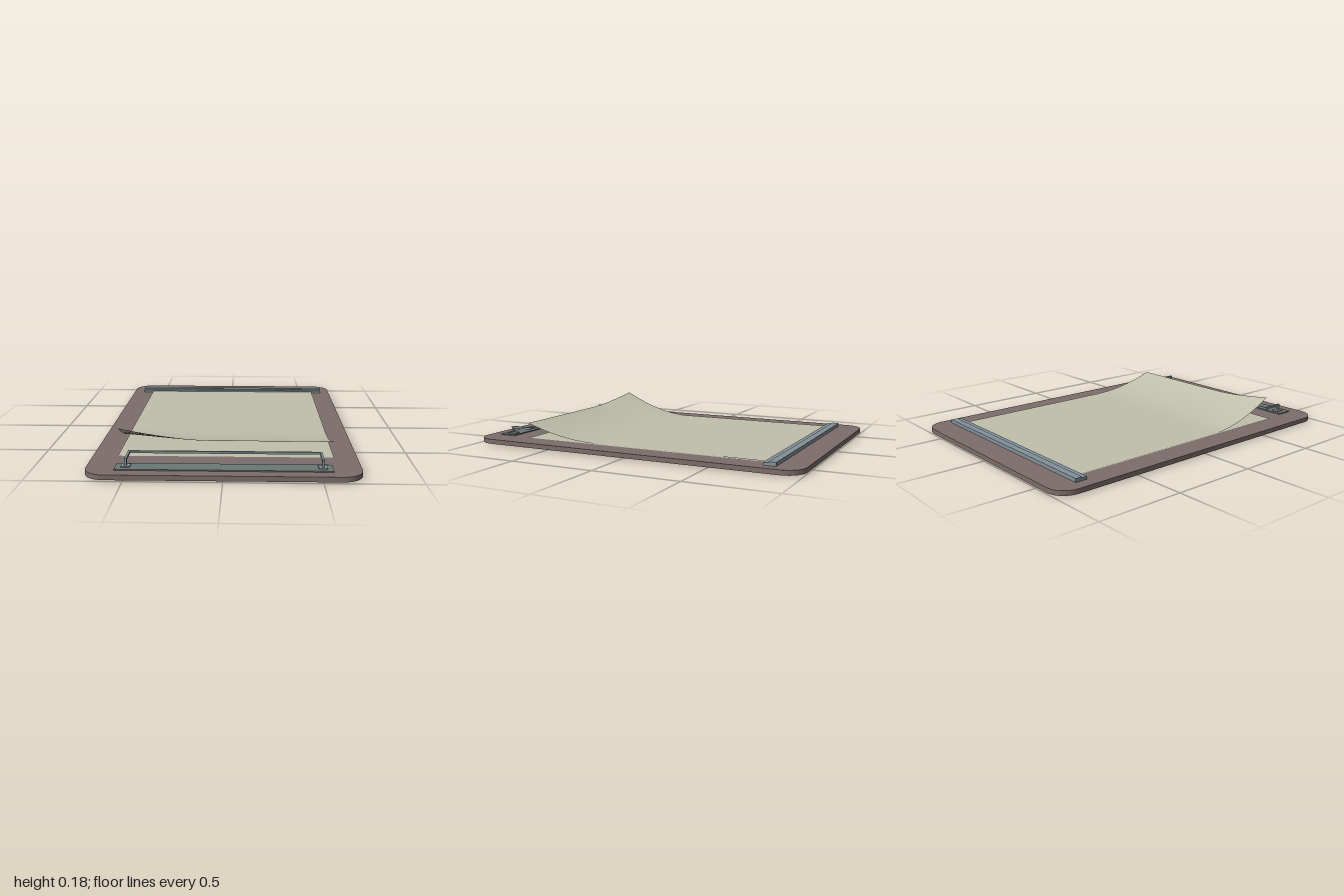
import * as THREE from 'three';

const material = (color, side = THREE.FrontSide) =>
  new THREE.MeshStandardMaterial({ color, side, roughness: 0.8 });

export function createModel() {
  const model = new THREE.Group();
  model.name = 'clipboard';
  const brown = material(0x7d6e6b);
  const cream = material(0xc0c0ac, THREE.DoubleSide);
  const steel = material(0x84929a);
  const greenGrey = material(0x6c7875);

  const add = (name, geometry, mat, x = 0, y = 0, z = 0, parent = model) => {
    const mesh = new THREE.Mesh(geometry, mat);
    mesh.name = name;
    mesh.position.set(x, y, z);
    parent.add(mesh);
    return mesh;
  };
  // Box given by its lowest and highest corners
  const block = (name, mat, [x0, y0, z0], [x1, y1, z1], parent) =>
    add(name, new THREE.BoxGeometry(x1 - x0, y1 - y0, z1 - z0), mat,
      (x0 + x1) / 2, (y0 + y1) / 2, (z0 + z1) / 2, parent);

  // Board with rounded corners
  const w = 0.705, d = 1, r = 0.11;
  const outline = new THREE.Shape();
  outline.absarc(w - r, d - r, r, 0, Math.PI / 2);
  outline.absarc(r - w, d - r, r, Math.PI / 2, Math.PI);
  outline.absarc(r - w, r - d, r, Math.PI, Math.PI * 1.5);
  outline.absarc(w - r, r - d, r, Math.PI * 1.5, Math.PI * 2);
  const board = new THREE.ExtrudeGeometry(outline, { depth: 0.027, bevelEnabled: false, curveSegments: 6 });
  board.rotateX(-Math.PI / 2);
  add('board', board, brown, 0, 0.007, 0);

  // Flat bottom sheet
  const sheet = new THREE.PlaneGeometry(1.15, 1.51).rotateX(-Math.PI / 2);
  add('bottomSheet', sheet, cream, 0.005, 0.037, -0.05);

  // Top sheet: front end curls up, the -x corner highest
  const curled = new THREE.PlaneGeometry(1.15, 1.51, 16, 48).rotateX(-Math.PI / 2);
  curled.translate(0.005, 0, -0.05);
  const p = curled.attributes.position;
  for (let i = 0; i < p.count; i++) {
    const x = p.getX(i), z = p.getZ(i);
    const t = Math.max(0, (z - 0.23) / 0.475);
    const u = Math.max(0, (-0.1 - x) / 0.47);
    p.setY(i, 0.041 + 0.085 * t ** 2 + 0.053 * u ** 1.6 * t ** 1.3);
    p.setZ(i, z - 0.033 * u * t);
  }
  curled.computeVertexNormals();
  add('curledTopSheet', curled, cream);

  // Clamp bar across the back, with a raised ridge
  const clamp = new THREE.Group();
  clamp.name = 'clampBar';
  model.add(clamp);
  block('clampBase', steel, [-0.635, 0.033, -0.855], [0.645, 0.050, -0.785], clamp);
  block('clampRidge', steel, [-0.635, 0.050, -0.855], [0.645, 0.055, -0.815], clamp);

  // Front plate, let through the board
  block('frontPlate', greenGrey, [-0.553, 0.005, 0.83], [0.557, 0.040, 0.93]);

  // Mounting pads above and below the plate
  for (const side of [-1, 1]) {
    const x = 0.003 + side * 0.503;
    const px = 0.003 + side * 0.515;
    block('mountingPad', steel, [x - 0.023, 0.038, 0.85], [x + 0.023, 0.045, 0.9]);
    block('bottomPad', greenGrey, [px - 0.039, 0, 0.845], [px + 0.039, 0.007, 0.915]);
  }

  // Bent wire bail: up from the pads, back, and across
  const bail = new THREE.Group();
  bail.name = 'wireBail';
  model.add(bail);
  const t = 0.006;
  for (const x of [-0.5, 0.506]) {
    block('bailPost', steel, [x - t, 0.042, 0.88 - t], [x + t, 0.083, 0.88 + t], bail);
    block('bailArm', steel, [x - t, 0.071, 0.755 - t], [x + t, 0.083, 0.88 - t], bail);
  }
  block('bailCrossbar', steel, [-0.5 + t, 0.071, 0.755 - t], [0.506 - t, 0.083, 0.755 + t], bail);

  return model;
}
